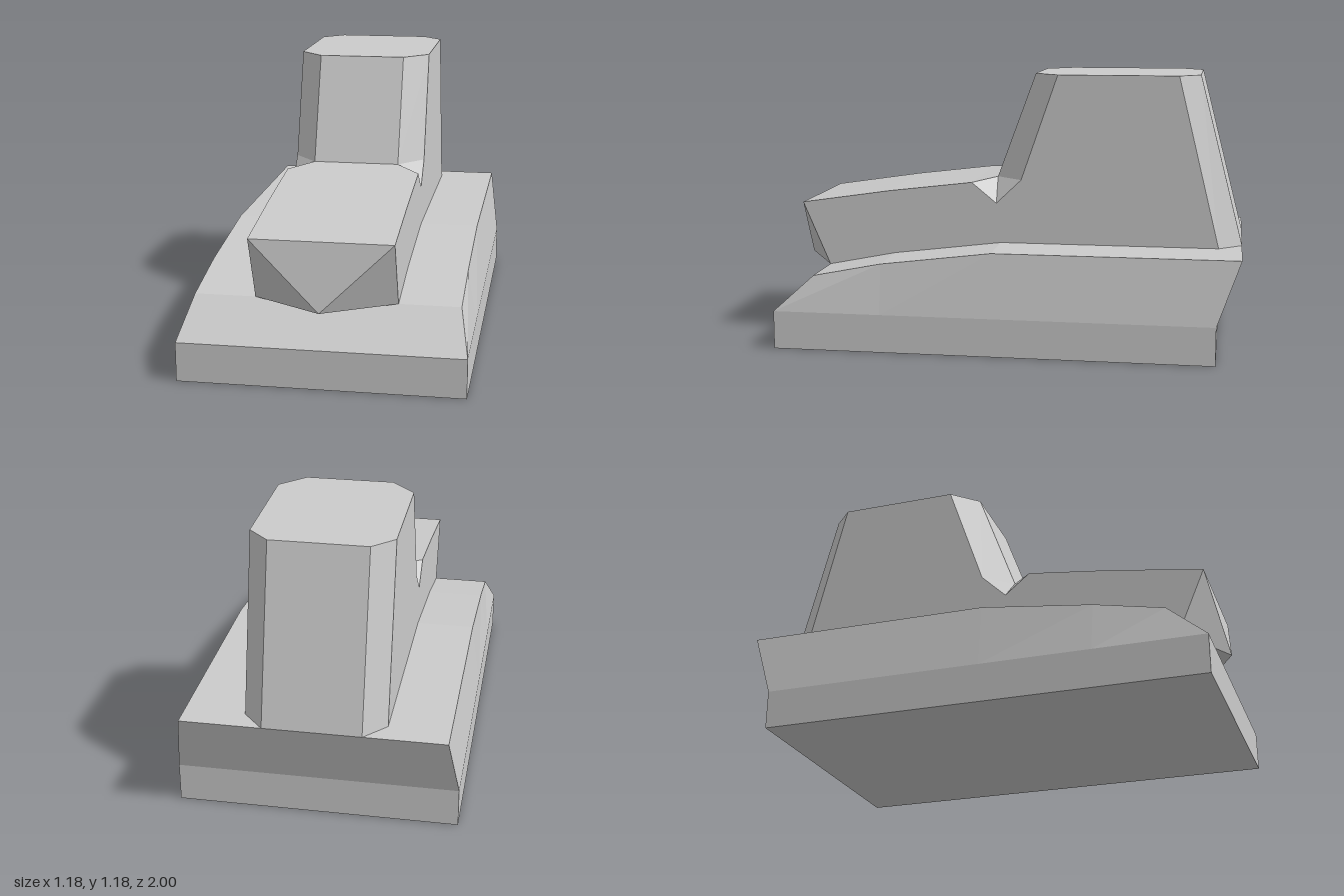
import * as THREE from 'three';

// Collects flat faces; corners run counter-clockwise seen from outside.
function shell(name) {
  const pos = [];
  const face = (pts) => {
    for (let i = 1; i < pts.length - 1; i++) pos.push(...pts[0], ...pts[i], ...pts[i + 1]);
  };
  const flip = ([x, y, z]) => [-x, y, z];
  // A face on the +x side and its mirror image
  const pair = (pts) => {
    face(pts);
    face(pts.map(flip).reverse());
  };
  // Full-width panels running through a list of [halfWidth, y, z] rows
  const strip = (rows) => {
    for (let i = 0; i < rows.length - 1; i++) {
      const a = rows[i], b = rows[i + 1];
      face([flip(a), a, b, flip(b)]);
    }
  };
  const mesh = () => {
    const g = new THREE.BufferGeometry();
    g.setAttribute('position', new THREE.Float32BufferAttribute(pos, 3));
    g.computeVertexNormals();
    const m = new THREE.Mesh(g, new THREE.MeshStandardMaterial({ color: 0xcccccc, flatShading: true }));
    m.name = name;
    return m;
  };
  return { face, pair, strip, mesh };
}

// Wide chassis with a plinth, a tapered upper half and a deck sloping to the front
function makeBase() {
  const s = shell('base');
  const W = 0.59, T = 0.55, H = 0.165;
  const deck = [[T, 0.32, 0.83], [T, 0.38, 0.53], [T, 0.44, 0.05], [T, 0.44, -1]];
  const rail = [1, 0.53, 0.05, -0.9].map((z) => [W, H, z]);
  s.strip([[W, 0, 1], rail[0], ...deck, rail[3], [W, 0, -0.9], [W, 0, 1]]);
  s.pair([[W, 0, 1], [W, 0, -0.9], rail[3], rail[0]]);
  for (let i = 0; i < 3; i++) s.pair([rail[i], rail[i + 1], deck[i + 1], deck[i]]);
  return s.mesh();
}

// Hood and chamfered cabin sharing one flat side wall
function makeBody() {
  const s = shell('hoodAndCabin');
  const W = 0.295;
  const hoodFront = [W, 0.6, 0.95], hoodMid = [W, 0.66, 0.55], hoodBack = [W, 0.705, 0.18];
  const noseSide = [W, 0.32, 0.83], noseTip = [0, 0.32, 1];
  const cabFoot = [0.19, 0.72, 0.08], cabFootSide = [W, 0.72, -0.04], notch = [W, 0.615, 0.07];
  const roofFront = [0.19, 1.18, -0.09], roofFrontSide = [W, 1.18, -0.2];
  const roofBackSide = [W, 1.18, -0.72], roofBack = [0.205, 1.18, -0.81];
  const rearFoot = [0.205, 0.44, -1], rearFootSide = [W, 0.44, -0.9];

  // Hood top, cabin front, roof and cabin rear
  s.strip([hoodFront, hoodMid, hoodBack, cabFoot, roofFront,
    roofFrontSide, roofBackSide, roofBack, rearFoot]);

  // Pointed nose, with its underside
  const mirror = ([x, y, z]) => [-x, y, z];
  s.face([mirror(hoodFront), noseTip, hoodFront]);
  s.pair([noseTip, noseSide, hoodFront]);
  s.face([noseSide, noseTip, mirror(noseSide)]);

  // Cabin corner chamfers and the notches at their feet
  s.pair([cabFoot, cabFootSide, roofFrontSide, roofFront]);
  s.pair([rearFootSide, rearFoot, roofBack, roofBackSide]);
  s.pair([hoodBack, notch, cabFoot]);
  s.pair([notch, cabFootSide, cabFoot]);

  // Side walls
  const wall = [noseSide, [W, 0.38, 0.53], [W, 0.44, 0.05], rearFootSide, roofBackSide,
    roofFrontSide, cabFootSide, notch, hoodBack, hoodMid, hoodFront];
  const outline = wall.map(([, y, z]) => new THREE.Vector2(-z, y));
  for (const tri of THREE.ShapeUtils.triangulateShape(outline, [])) s.pair(tri.map((i) => wall[i]));
  return s.mesh();
}

export function createModel() {
  const model = new THREE.Group();
  model.name = 'vehicle';
  model.add(makeBase(), makeBody());
  return model;
}
